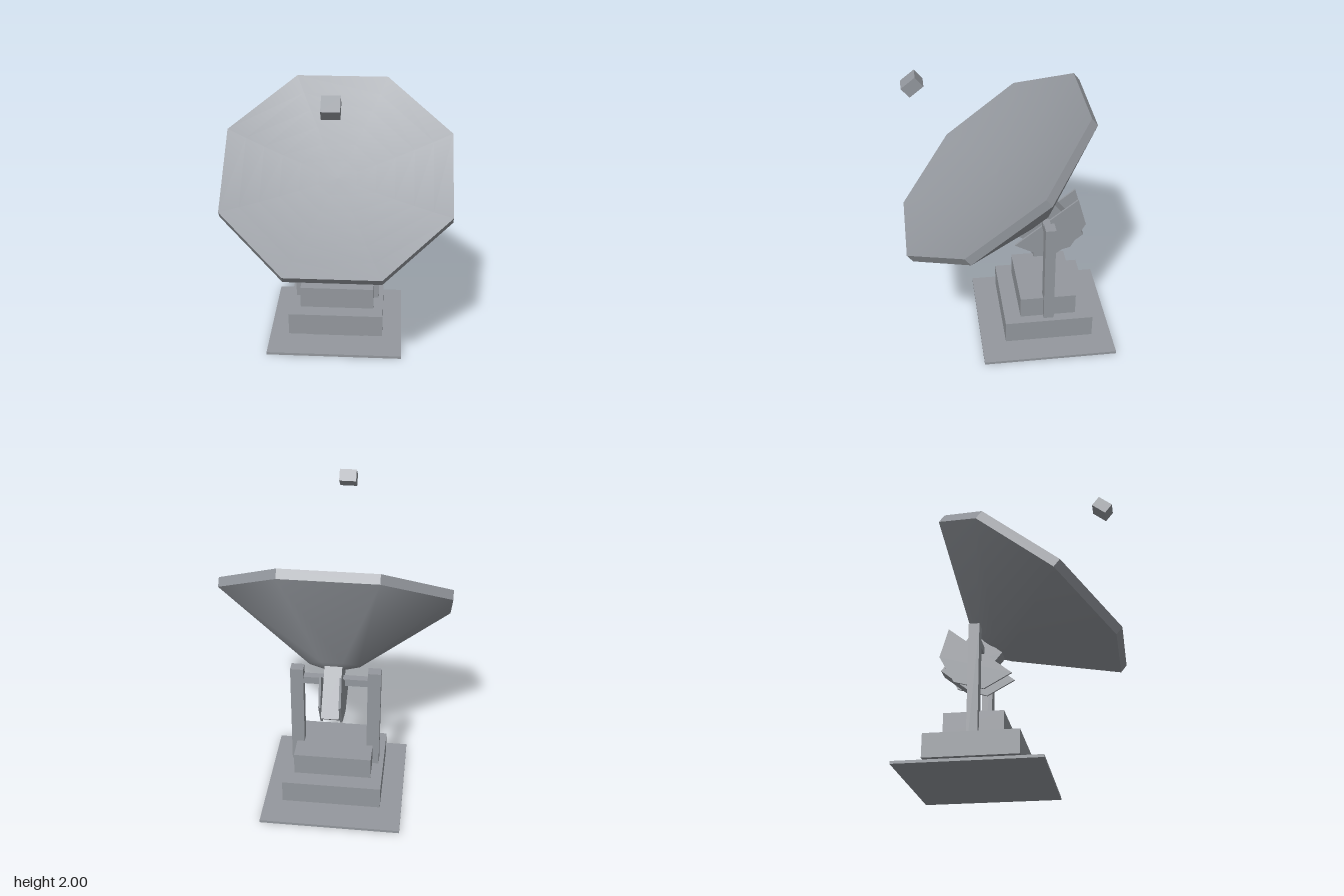
import * as THREE from 'three';

export function createModel() {
  const model = new THREE.Group();
  model.name = 'satelliteDish';
  const grey = new THREE.MeshStandardMaterial({ color: 0x94989e });
  grey.name = 'metalGrey';

  const add = (parent, name, geometry, x = 0, y = 0, z = 0) => {
    const mesh = new THREE.Mesh(geometry, grey);
    mesh.name = name;
    mesh.position.set(x, y, z);
    parent.add(mesh);
    return mesh;
  };
  // Box given by its extents on each axis
  const block = (parent, name, [x0, x1], [y0, y1], [z0, z1]) =>
    add(parent, name, new THREE.BoxGeometry(x1 - x0, y1 - y0, z1 - z0),
      (x0 + x1) / 2, (y0 + y1) / 2, (z0 + z1) / 2);

  // Stepped base
  block(model, 'groundPlate', [-0.485, 0.44], [0, 0.018], [-0.69, 0.22]);
  block(model, 'foot', [-0.21, 0.175], [0.018, 0.075], [-0.45, -0.025]);
  block(model, 'lowerBase', [-0.345, 0.307], [0.075, 0.23], [-0.54, 0.06]);
  block(model, 'upperBase', [-0.27, 0.24], [0.23, 0.38], [-0.43, -0.05]);

  // Support posts and the axle between them
  block(model, 'rightPost', [-0.313, -0.228], [0.045, 0.96], [-0.275, -0.205]);
  block(model, 'leftPost', [0.19, 0.275], [0.045, 0.96], [-0.275, -0.205]);
  block(model, 'axle', [-0.228, 0.19], [0.85, 0.9], [-0.265, -0.215]);

  // Tilting head: local +y is the dish axis, origin at the rim centre
  const head = new THREE.Group();
  head.name = 'tiltingHead';
  head.position.set(0, 1.3325, 0.1175);
  head.rotation.x = 0.67;
  model.add(head);

  // Eight-sided dish in three surfaces, so the rim edges stay sharp
  const R = 0.737 / Math.cos(Math.PI / 8);
  const k = R / 0.737;
  const lathe = (points) => new THREE.LatheGeometry(
    points.map(([r, y]) => new THREE.Vector2(r, y)), 8, Math.PI / 8);

  add(head, 'dishBack', lathe([[0, -0.53], [0.164 * k, -0.485], [R, -0.062]]));

  const rim = lathe([[R, -0.062], [R, 0]]).toNonIndexed();
  rim.computeVertexNormals();
  add(head, 'dishRim', rim);

  const bowl = [];
  for (let i = 6; i >= 0; i--) bowl.push([R * i / 6, 0.08 * ((i / 6) ** 2 - 1)]);
  add(head, 'dishFace', lathe(bowl));

  // Feed unit floating on the dish axis
  add(head, 'feedUnit', new THREE.BoxGeometry(0.112, 0.08, 0.112), -0.009, 0.763, 0);

  // Mount block behind the dish
  add(head, 'mountBlock', new THREE.BoxGeometry(0.114, 0.335, 0.25), -0.009, -0.672, 0);

  // Half-octagon plates on both sides of the mount block
  const sector = new THREE.Shape();
  for (let i = 0; i <= 4; i++) {
    const a = Math.PI * (1 + i / 4);
    sector[i ? 'lineTo' : 'moveTo'](0.27 * Math.cos(a), 0.27 * Math.sin(a));
  }
  const plate = new THREE.ExtrudeGeometry(sector, { depth: 0.014, bevelEnabled: false });
  plate.translate(0, 0, -0.007);
  plate.rotateY(Math.PI / 2);
  for (const side of [-1, 1]) {
    add(head, side < 0 ? 'rightElevationPlate' : 'leftElevationPlate', plate,
      -0.009 + side * 0.064, -0.583, 0);
  }

  return model;
}
